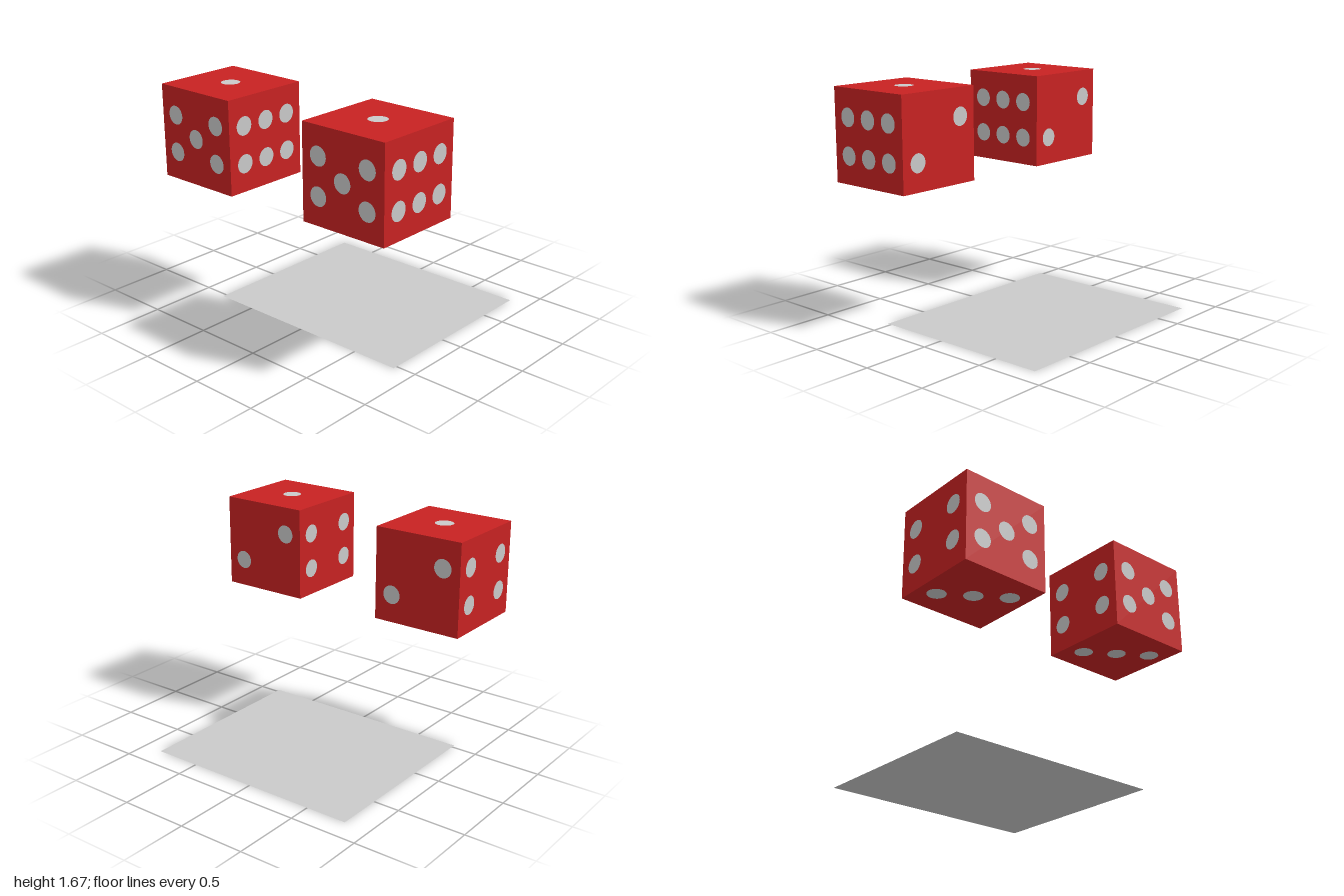
import * as THREE from 'three';

const SIZE = 2 / 3, HALF = SIZE / 2;
const DX = 0.2, DY = 0.133; // pip spacing across and along a face

export function createModel() {
  const red = new THREE.MeshStandardMaterial({ color: 0xc82222 });
  red.name = 'red';
  const grey = new THREE.MeshStandardMaterial({ color: 0xcacaca, side: THREE.DoubleSide });
  grey.name = 'light grey';

  // Each face: rotation that turns +z onto it, and its pips in face coordinates
  const corners = [[-DX, -DY], [DX, -DY], [-DX, DY], [DX, DY]];
  const faces = [
    { name: 'onePip', rot: [-Math.PI / 2, 0, 0], pips: [[0, 0]] },
    { name: 'twoPips', rot: [0, Math.PI, 0], pips: [[-DX, -DY], [DX, DY]] },
    { name: 'threePips', rot: [Math.PI / 2, 0, 0], pips: [[-DX, -DY], [0, 0], [DX, DY]] },
    { name: 'fourPips', rot: [0, -Math.PI / 2, 0], pips: corners },
    { name: 'fivePips', rot: [0, 0, 0], pips: [...corners, [0, 0]] },
    { name: 'sixPips', rot: [0, Math.PI / 2, 0], pips: [...corners, [0, -DY], [0, DY]] },
  ];

  const cube = new THREE.BoxGeometry(SIZE, SIZE, SIZE);
  const disc = new THREE.CircleGeometry(0.067, 32);

  function makeDie(name, x) {
    const die = new THREE.Group();
    die.name = name;
    const body = new THREE.Mesh(cube, red);
    body.name = 'dieBody';
    die.add(body);
    for (const { name: faceName, rot, pips } of faces) {
      const face = new THREE.Group();
      face.name = faceName;
      face.rotation.set(...rot);
      for (const [px, py] of pips) {
        const pip = new THREE.Mesh(disc, grey);
        pip.name = 'pip';
        pip.position.set(px, py, HALF + 0.002);
        face.add(pip);
      }
      die.add(face);
    }
    die.position.set(x, 1 + HALF, 0.5);
    return die;
  }

  const model = new THREE.Group();
  model.name = 'diceOverTable';
  model.add(makeDie('leftDie', 1 - HALF), makeDie('rightDie', HALF - 1));

  // Thin sheet lying on the ground under the dice
  const sheet = new THREE.Mesh(new THREE.PlaneGeometry(1.652, 1.363), grey);
  sheet.name = 'groundSheet';
  sheet.rotation.x = -Math.PI / 2;
  sheet.position.set(0.019, 0, -0.152);
  model.add(sheet);
  return model;
}
